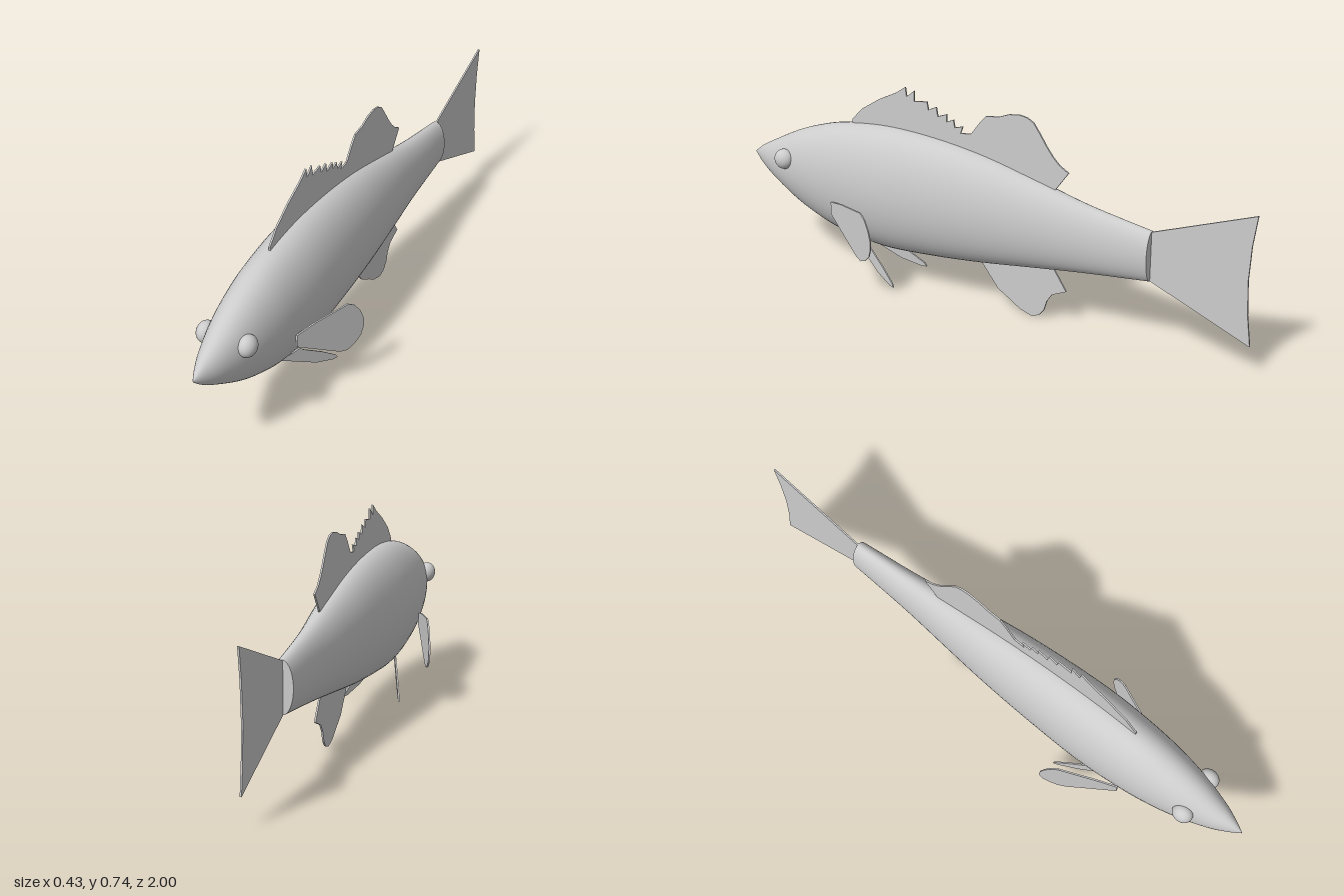
import * as THREE from 'three';

const grey = new THREE.MeshStandardMaterial({ color: 0xcccccc });
grey.name = 'plain grey';

// Body stations: z, top height, bottom height, half width
const STATIONS = [
  [1.0, 0.367, 0.363, 0.001], [0.96, 0.398, 0.326, 0.023], [0.9, 0.432, 0.285, 0.049],
  [0.8, 0.485, 0.226, 0.078], [0.7, 0.525, 0.181, 0.097], [0.58, 0.558, 0.145, 0.11],
  [0.4, 0.58, 0.124, 0.118], [0.2, 0.575, 0.135, 0.112], [0, 0.55, 0.157, 0.099],
  [-0.2, 0.506, 0.186, 0.078], [-0.4, 0.459, 0.214, 0.055], [-0.64, 0.42, 0.243, 0.037],
];

// Lofted body of elliptical cross-sections, nose to tail root
function bodyGeometry(rings = 66, sides = 48) {
  const curve = (k) => new THREE.CatmullRomCurve3(
    STATIONS.map((s) => new THREE.Vector3(s[3], s[k], s[0])), false, 'catmullrom', 0.5);
  const top = curve(1), bottom = curve(2);
  const pos = [], index = [];
  for (let i = 0; i <= rings; i++) {
    const t = top.getPoint(i / rings), b = bottom.getPoint(i / rings);
    for (let j = 0; j < sides; j++) {
      const a = (j / sides) * Math.PI * 2;
      pos.push(Math.cos(a) * t.x, (t.y + b.y) / 2 + Math.sin(a) * (t.y - b.y) / 2, t.z);
      if (i === rings) continue;
      const k = (j + 1) % sides, p = i * sides, q = p + sides;
      index.push(p + j, q + j, p + k, p + k, q + j, q + k);
    }
  }
  const g = new THREE.BufferGeometry();
  g.setAttribute('position', new THREE.Float32BufferAttribute(pos, 3));
  g.setIndex(index);
  g.computeVertexNormals();
  return g;
}

// Thin fin from a (z, y) outline; lean(z, y) gives its sideways offset
function finGeometry(outline, lean = () => 0, thickness = 0.006) {
  const shape = new THREE.Shape(outline.map(([z, y]) => new THREE.Vector2(z, y)));
  const g = new THREE.ExtrudeGeometry(shape, { depth: thickness, bevelEnabled: false });
  g.translate(0, 0, -thickness / 2);
  g.rotateY(-Math.PI / 2);
  const p = g.attributes.position;
  for (let i = 0; i < p.count; i++) p.setX(i, p.getX(i) + lean(p.getZ(i), p.getY(i)));
  g.computeVertexNormals();
  return g;
}

const SPINY_DORSAL = [
  [0.547, 0.56], [0.547, 0.577], [0.505, 0.623], [0.43, 0.672], [0.355, 0.71], [0.317, 0.737],
  [0.312, 0.703], [0.28, 0.73], [0.28, 0.692], [0.228, 0.7], [0.222, 0.672], [0.19, 0.688],
  [0.184, 0.655], [0.147, 0.67], [0.147, 0.643], [0.12, 0.655], [0.115, 0.628], [0.082, 0.638],
  [0.092, 0.612], [0.05, 0.618], [0.1, 0.565], [0.1, 0.54], [0.35, 0.55],
];
const SOFT_DORSAL = [
  [0.1, 0.55], [0.1, 0.567], [0.05, 0.618], [0.015, 0.665], [-0.01, 0.693], [-0.06, 0.7],
  [-0.1, 0.716], [-0.14, 0.722], [-0.17, 0.718], [-0.195, 0.704], [-0.22, 0.67], [-0.245, 0.632],
  [-0.27, 0.6], [-0.295, 0.575], [-0.33, 0.555], [-0.28, 0.485], [-0.26, 0.465], [-0.1, 0.5],
];
const ANAL = [
  [0.007, 0.18], [0.007, 0.155], [-0.03, 0.108], [-0.06, 0.07], [-0.11, 0.04], [-0.15, 0.014],
  [-0.195, 0.0], [-0.225, 0.01], [-0.245, 0.035], [-0.255, 0.07], [-0.275, 0.1], [-0.33, 0.125],
  [-0.285, 0.192], [-0.27, 0.215], [-0.1, 0.2],
];
const TAIL = [
  [-0.62, 0.414], [-0.64, 0.418], [-1, 0.555], [-0.986, 0.45], [-0.98, 0.33], [-0.986, 0.21],
  [-1, 0.103], [-0.64, 0.244], [-0.62, 0.25],
];
const PECTORAL = [
  [0.575, 0.29], [0.51, 0.305], [0.385, 0.319], [0.362, 0.304], [0.34, 0.27], [0.328, 0.235],
  [0.327, 0.205], [0.338, 0.172], [0.362, 0.148], [0.39, 0.135], [0.418, 0.142], [0.575, 0.244],
];
const PELVIC = [
  [0.54, 0.132], [0.4, 0.046], [0.33, 0.021], [0.311, 0.02], [0.318, 0.033], [0.37, 0.074],
  [0.45, 0.128], [0.46, 0.14],
];

export function createModel() {
  const fish = new THREE.Group();
  fish.name = 'fish';
  const add = (name, geometry) => {
    const m = new THREE.Mesh(geometry, grey);
    m.name = name;
    fish.add(m);
    return m;
  };

  add('body', bodyGeometry());

  // Flat end of the body at the tail root
  const [z, top, bottom, half] = STATIONS[STATIONS.length - 1];
  const cap = new THREE.CircleGeometry(1, 48);
  cap.rotateY(Math.PI);
  cap.scale(half, (top - bottom) / 2, 1);
  add('bodyEnd', cap).position.set(0, (top + bottom) / 2, z);

  // Fins on the centre line
  add('spinyDorsalFin', finGeometry(SPINY_DORSAL));
  add('softDorsalFin', finGeometry(SOFT_DORSAL));
  add('analFin', finGeometry(ANAL));
  add('tailFin', finGeometry(TAIL));

  // Paired fins and eyes
  for (const [side, s] of [['left', 1], ['right', -1]]) {
    add(side + 'PectoralFin', finGeometry(PECTORAL, (z) => s * (0.107 + (0.575 - z) * 0.43)));
    add(side + 'PelvicFin', finGeometry(PELVIC, (z, y) => s * (0.2155 - 0.351 * z - 0.03 * y)));
    const eye = add(side + 'Eye', new THREE.SphereGeometry(1, 32, 20));
    eye.scale.set(0.031, 0.037, 0.037);
    eye.position.set(s * 0.074, 0.396, 0.808);
  }
  return fish;
}
